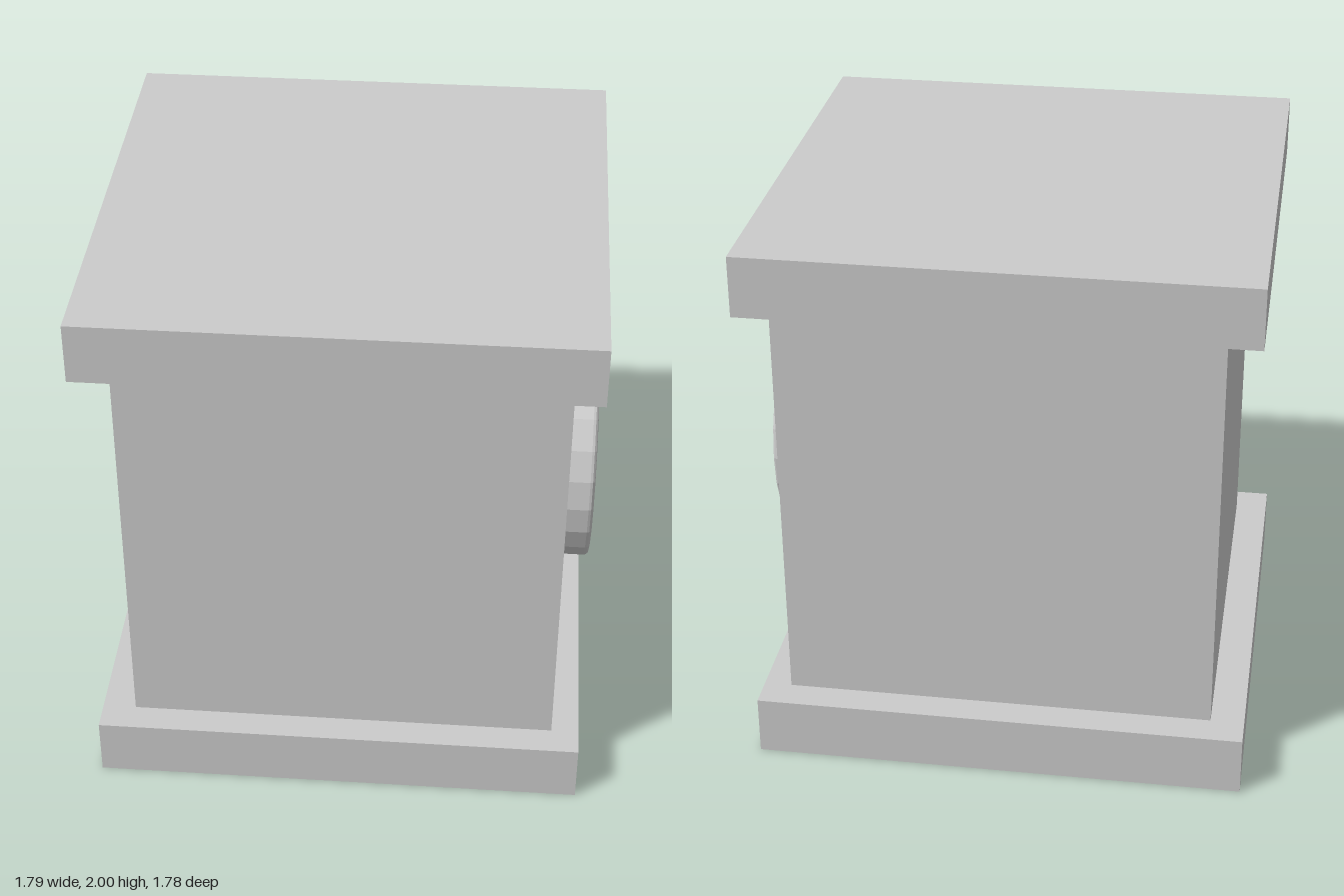
import * as THREE from 'three';

export function createModel() {
  const group = new THREE.Group();
  const grey = new THREE.MeshStandardMaterial({ color: 0xcccccc });
  const faceted = new THREE.MeshStandardMaterial({ color: 0xcccccc, flatShading: true });

  const add = (name, geometry, material, x, y, z) => {
    const mesh = new THREE.Mesh(geometry, material);
    mesh.name = name;
    mesh.position.set(x, y, z);
    group.add(mesh);
    return mesh;
  };

  // Square base and cap slabs with the narrower body between them
  const slabHeight = 0.22;
  const slab = new THREE.BoxGeometry(1.777, slabHeight, 1.777);
  add('baseSlab', slab, grey, -0.008, slabHeight / 2, -0.002);
  add('topSlab', slab, grey, -0.008, 2 - slabHeight / 2, -0.002);
  add('body', new THREE.BoxGeometry(1.555, 2 - 2 * slabHeight, 1.555), grey, 0.003, 1, 0.002);

  // Round button on the left side (+x), with a small rounded rim
  const radius = 0.443, depth = 0.11, bevel = 0.018;
  const profile = [new THREE.Vector2(radius, 0)];
  for (let i = 0; i <= 3; i++) {
    const a = (i / 3) * Math.PI / 2;
    profile.push(new THREE.Vector2(
      radius - bevel + bevel * Math.cos(a),
      depth - bevel + bevel * Math.sin(a)
    ));
  }
  profile.push(new THREE.Vector2(0, depth));
  const button = add('button', new THREE.LatheGeometry(profile, 24), faceted, 0.78, 0.993, -0.008);
  button.rotation.z = -Math.PI / 2;

  return group;
}
